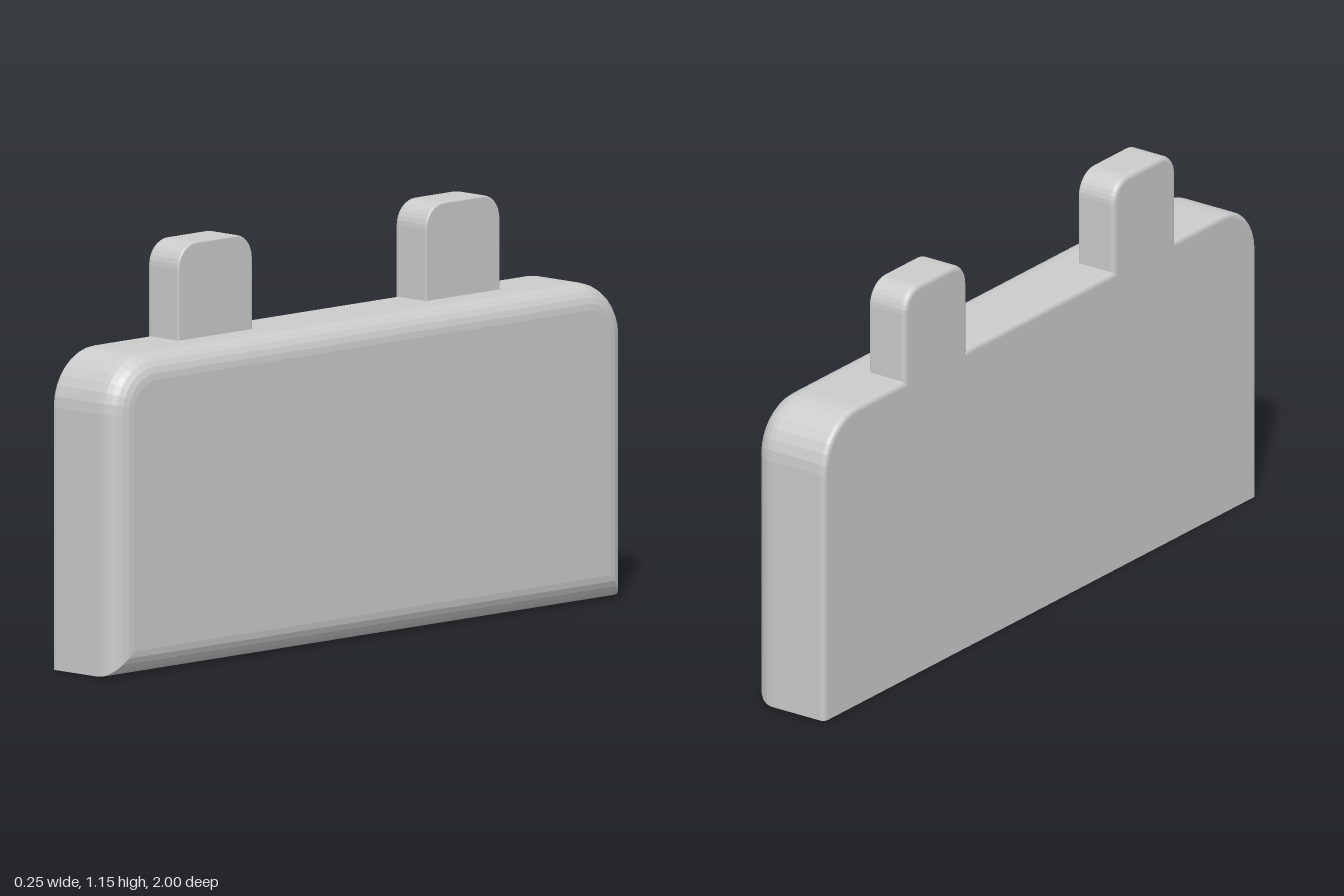
import * as THREE from 'three';

const material = new THREE.MeshStandardMaterial({ color: 0xcccccc, flatShading: true });

// Outline of a plate with two rounded top corners, moved inwards by "inset"
function outline({ half, bottom, top, radius }, inset, insetBottom) {
  const y0 = bottom + (insetBottom ? inset : 0);
  const points = [[-half + inset, y0], [half - inset, y0]];
  const steps = 8;
  for (const side of [1, -1]) {
    for (let i = 0; i <= steps; i++) {
      const a = (i / steps + (side < 0 ? 1 : 0)) * Math.PI / 2;
      points.push([
        side * (half - radius) + (radius - inset) * Math.cos(a),
        top - radius + (radius - inset) * Math.sin(a),
      ]);
    }
  }
  return points;
}

// Plate lofted along x, with a rounded edge on each face
function plate(name, size, z) {
  const { x0, x1, backEdge, frontEdge, roundBottom } = size;
  const layers = [];
  const addEdge = (r, steps, front) => {
    for (let i = 0; i <= steps; i++) {
      const t = (front ? i : steps - i) / steps * Math.PI / 2;
      const x = front ? x1 - r + r * Math.sin(t) : x0 + r - r * Math.sin(t);
      const loop = outline(size, r * (1 - Math.cos(t)), front && roundBottom);
      layers.push(loop.map(([u, y]) => [x, y, z - u]));
    }
  };
  addEdge(backEdge, 4, false);
  addEdge(frontEdge, 6, true);

  const n = layers[0].length;
  const last = (layers.length - 1) * n;
  const index = [];
  for (let k = 0; k < layers.length - 1; k++) {
    for (let i = 0; i < n; i++) {
      const a = k * n + i, b = k * n + (i + 1) % n;
      index.push(a, b, b + n, a, b + n, a + n);
    }
  }
  // Flat faces
  for (let i = 1; i < n - 1; i++) {
    index.push(0, i + 1, i, last, last + i, last + i + 1);
  }
  const geometry = new THREE.BufferGeometry();
  geometry.setAttribute('position', new THREE.Float32BufferAttribute(layers.flat(2), 3));
  geometry.setIndex(index);
  geometry.computeVertexNormals();
  const mesh = new THREE.Mesh(geometry, material);
  mesh.name = name;
  return mesh;
}

export function createModel() {
  const group = new THREE.Group();
  group.name = 'tabbedPlate';

  // Main slab, heavily rounded on its +x face
  group.add(plate('body', {
    half: 1, bottom: 0, top: 0.885, radius: 0.155,
    x0: -0.125, x1: 0.125, backEdge: 0.015, frontEdge: 0.07, roundBottom: true,
  }, 0));

  // Two upright tabs flush with the -x face
  for (const side of [1, -1]) {
    group.add(plate(side > 0 ? 'frontTab' : 'backTab', {
      half: 0.145, bottom: 0.87, top: 1.153, radius: 0.07,
      x0: -0.125, x1: -0.003, backEdge: 0.015, frontEdge: 0.006, roundBottom: false,
    }, side * 0.483));
  }
  return group;
}
